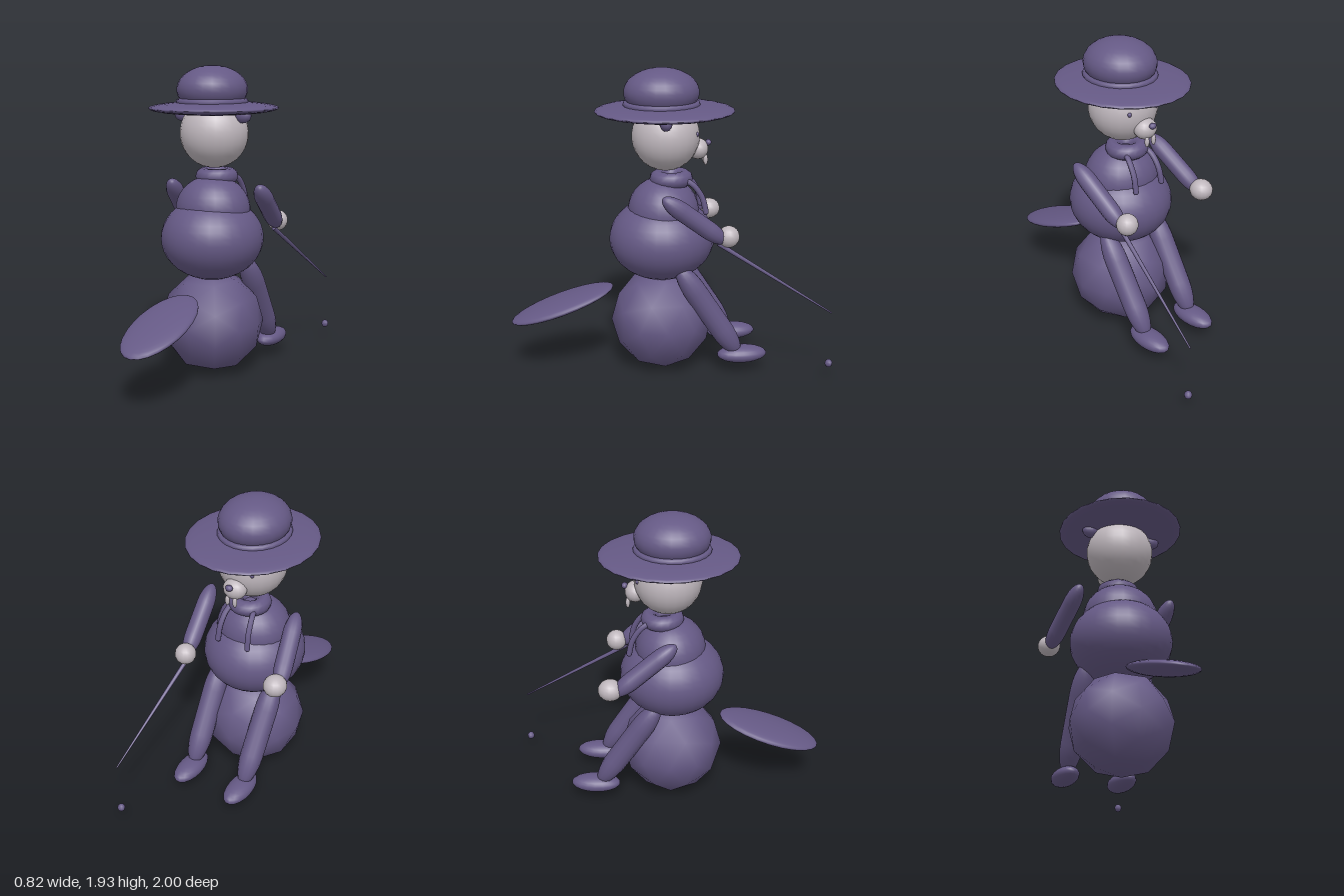
import * as THREE from 'three';

export function createModel() {
  const group = new THREE.Group();
  const purple = new THREE.MeshStandardMaterial({ name: 'dusky purple', color: 0x655985 });
  const grey = new THREE.MeshStandardMaterial({ name: 'pale grey', color: 0xbfb7bd });
  const CX = 0.015; // middle line of the figure

  function add(name, geometry, material, position) {
    const mesh = new THREE.Mesh(geometry, material);
    mesh.name = name;
    mesh.position.set(...position);
    group.add(mesh);
    return mesh;
  }
  // Sphere stretched to three radii
  function ball(name, material, position, radii, segments = 20) {
    const mesh = add(name, new THREE.SphereGeometry(1, segments, Math.round(segments * 0.7)), material, position);
    mesh.scale.set(...radii);
    return mesh;
  }
  // Turn a mesh's y axis along a to b and centre it between them
  function aim(mesh, a, b) {
    const dir = b.clone().sub(a);
    mesh.position.copy(a).add(b).multiplyScalar(0.5);
    mesh.quaternion.setFromUnitVectors(new THREE.Vector3(0, 1, 0), dir.normalize());
  }
  // Long capsule with drawn-out ends
  function limb(name, from, to, radius) {
    const a = new THREE.Vector3(...from), b = new THREE.Vector3(...to);
    const mesh = add(name, new THREE.CapsuleGeometry(1, 1.5, 8, 14), purple, [0, 0, 0]);
    mesh.scale.set(radius, a.distanceTo(b) / 3.5, radius);
    aim(mesh, a, b);
  }

  // Faceted seat below the body
  add('seat', new THREE.IcosahedronGeometry(0.325, 1), purple, [CX, 0.33, 0.04]);

  // Body and collar
  ball('belly', purple, [CX, 0.865, 0.04], [0.32, 0.262, 0.33], 28);
  ball('chest', purple, [CX, 1.045, 0.03], [0.237, 0.21, 0.222], 24);
  const collar = add('collar', new THREE.TorusGeometry(0.085, 0.05, 10, 20), purple, [CX, 1.248, -0.02]);
  collar.rotation.x = Math.PI / 2;

  // Head, face and ears
  ball('head', grey, [CX, 1.517, 0.015], [0.215, 0.215, 0.21], 24);
  ball('muzzle', grey, [CX, 1.43, -0.185], [0.075, 0.065, 0.065], 16);
  ball('nose', purple, [CX, 1.467, -0.25], [0.024, 0.019, 0.02], 12);

  // Hat
  ball('hatBrim', purple, [CX, 1.672, 0.02], [0.395, 0.042, 0.43], 24);
  ball('hatCrown', purple, [CX, 1.785, 0.04], [0.215, 0.147, 0.232], 24);
  const band = add('hatBand', new THREE.TorusGeometry(0.2, 0.02, 8, 24), purple, [CX, 1.712, 0.04]);
  band.rotation.x = Math.PI / 2;
  band.scale.set(1, 1.08, 1);

  // Paired parts
  for (const s of [-1, 1]) {
    const side = s > 0 ? 'Left' : 'Right';
    ball('ear' + side, purple, [CX + s * 0.21, 1.63, 0.04], [0.055, 0.045, 0.038], 14);
    ball('eye' + side, purple, [CX + s * 0.105, 1.54, -0.163], [0.013, 0.015, 0.013], 10);
    ball('tooth' + side, grey, [CX + s * 0.026, 1.365, -0.23], [0.015, 0.035, 0.014], 10);
    limb('leg' + side, [CX + s * 0.2, 0.735, -0.035], [CX + s * 0.19, 0.13, -0.425], 0.073);
    ball('foot' + side, purple, [CX + s * 0.19, 0.125, -0.45], [0.08, 0.055, 0.16], 18);

    // Scarf end hanging over the chest
    const path = new THREE.CatmullRomCurve3([
      [0.07, 1.262, -0.07], [0.09, 1.22, -0.145], [0.1, 1.14, -0.2], [0.105, 1.05, -0.222],
    ].map(([x, y, z]) => new THREE.Vector3(CX + s * x, y, z)));
    add('scarfEnd' + side, new THREE.TubeGeometry(path, 12, 0.018, 8), purple, [0, 0, 0]);
    ball('scarfTip' + side, purple, [CX + s * 0.105, 1.05, -0.222], [0.018, 0.018, 0.018], 8);
  }

  // Arms and hands
  limb('armLeft', [0.35, 1.21, 0.075], [0.3, 0.91, -0.315], 0.057);
  limb('armRight', [-0.265, 1.21, 0.075], [-0.355, 0.91, -0.3], 0.057);
  ball('handLeft', grey, [0.29, 0.94, -0.335], [0.067, 0.067, 0.067], 16);
  ball('handRight', grey, [-0.345, 0.94, -0.32], [0.072, 0.067, 0.075], 16);

  // Flat paddle tail
  const tail = ball('tail', purple, [CX, 0.449, 0.675], [0.18, 0.042, 0.342], 24);
  tail.rotation.x = 0.325;

  // Fishing rod and its float
  const grip = new THREE.Vector3(0.295, 0.9, -0.27), tip = new THREE.Vector3(0.38, 0.445, -0.975);
  const rod = add('rod', new THREE.CylinderGeometry(0.005, 0.015, grip.distanceTo(tip), 10), purple, [0, 0, 0]);
  aim(rod, grip, tip);
  ball('float', purple, [0.38, 0.105, -0.972], [0.025, 0.026, 0.025], 8);

  return group;
}
